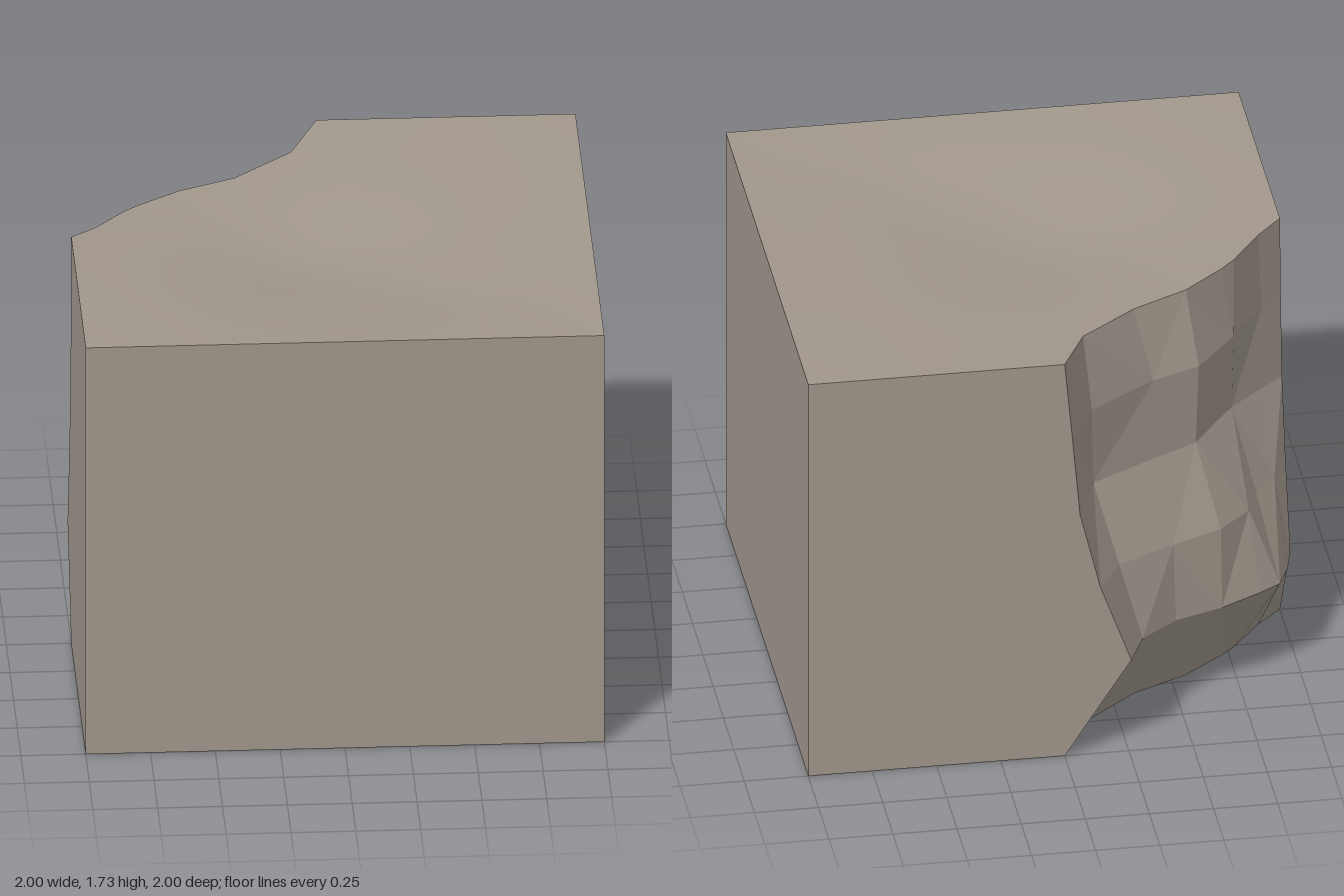
import * as THREE from 'three';

const TOP = 1.73;

// Shallow hollows in the ground, fading to nothing at the outer edges
const bump = (x, z, cx, cz, s) => Math.exp(-((x - cx) ** 2 + (z - cz) ** 2) / (2 * s * s));
const ground = (x, z) =>
  TOP - (1 - x * x) * (1 - z * z) *
  (0.045 + 0.055 * bump(x, z, -0.1, 0.13, 0.33) + 0.025 * bump(x, z, 0.42, 0.55, 0.2));

// Cliff cross-sections, top to bottom, each running from the back wall to the side wall
const RIM = [[0, -1], [-0.11, -0.76], [-0.34, -0.56], [-0.56, -0.45], [-0.72, -0.32], [-0.78, -0.26], [-0.9, -0.1], [-1, 0]];
const LAYERS = [
  [1.4, [[-0.03, -1], [-0.14, -0.79], [-0.41, -0.6], [-0.6, -0.52], [-0.77, -0.31], [-0.79, -0.26], [-0.91, -0.11], [-1, -0.02]]],
  [1.06, [[-0.06, -1], [-0.15, -0.76], [-0.41, -0.61], [-0.59, -0.51], [-0.71, -0.34], [-0.77, -0.26], [-0.91, -0.13], [-1, -0.05]]],
  [0.73, [[-0.14, -1], [-0.24, -0.83], [-0.47, -0.71], [-0.67, -0.62], [-0.8, -0.49], [-0.85, -0.36], [-0.94, -0.24], [-1, -0.14]]],
  [0.4, [[-0.26, -1], [-0.33, -0.84], [-0.48, -0.72], [-0.67, -0.65], [-0.83, -0.56], [-0.92, -0.5], [-0.97, -0.38], [-1, -0.25]]],
  [0, RIM],
];

// Surface through rows of points: rows run top to bottom, points left to right
function loft(rows) {
  const n = rows[0].length, index = [];
  for (let r = 0; r < rows.length - 1; r++) {
    for (let c = 0; c < n - 1; c++) {
      const a = r * n + c, b = a + n;
      if ((r + c) % 2) index.push(a, b, b + 1, a, b + 1, a + 1);
      else index.push(a, b, a + 1, b, b + 1, a + 1);
    }
  }
  const g = new THREE.BufferGeometry().setFromPoints(rows.flat());
  g.setIndex(index);
  return g;
}

export function createModel() {
  const model = new THREE.Group();
  const stone = new THREE.MeshStandardMaterial({ color: 0xa1978c, side: THREE.DoubleSide });
  stone.name = 'stone';
  const add = (name, geometry) => {
    const mesh = new THREE.Mesh(geometry, stone);
    mesh.name = name;
    model.add(mesh);
  };

  // Faceted cliff in the cut-away corner
  const rim = RIM.map(([x, z]) => new THREE.Vector3(x, ground(x, z), z));
  const rows = [rim, ...LAYERS.map(([y, pts]) => pts.map(([x, z]) => new THREE.Vector3(x, y, z)))];
  const cliff = loft(rows).toNonIndexed();
  cliff.computeVertexNormals();
  add('cliffFace', cliff);

  // Smooth top, spread from the cliff rim to the two far edges
  const COLS = 56, STEPS = 28, topRows = [];
  for (let s = 0; s <= STEPS; s++) {
    const row = [];
    for (let c = 0; c <= COLS; c++) {
      const u = c / COLS, i = Math.min(Math.floor(u * 7), 6);
      const near = rim[i].clone().lerp(rim[i + 1], u * 7 - i);
      const far = new THREE.Vector3(Math.min(1, 3 - 4 * u), TOP, Math.min(1, 4 * u - 1));
      const p = far.lerp(near, s / STEPS);
      if (s < STEPS) p.y = ground(p.x, p.z);
      row.push(p);
    }
    topRows.push(row);
  }
  const top = loft(topRows);
  top.computeVertexNormals();
  add('groundTop', top);

  // Flat walls around an open base; two follow the cliff's edge
  const wall = (name, pts, angle) => {
    const shape = new THREE.Shape(pts.map(([a, y]) => new THREE.Vector2(a, y)));
    add(name, new THREE.ShapeGeometry(shape).translate(0, 0, 1).rotateY(angle));
  };
  const full = [[-1, 0], [1, 0], [1, TOP], [-1, TOP]];
  wall('frontWall', full, 0);
  wall('leftWall', full, Math.PI / 2);
  wall('backWall', [[-1, 0], [-1, TOP], ...rows.map((r) => [-r[0].x, r[0].y])], Math.PI);
  wall('rightWall', [[1, 0], [1, TOP], ...rows.map((r) => [r[7].z, r[7].y])], -Math.PI / 2);

  return model;
}
